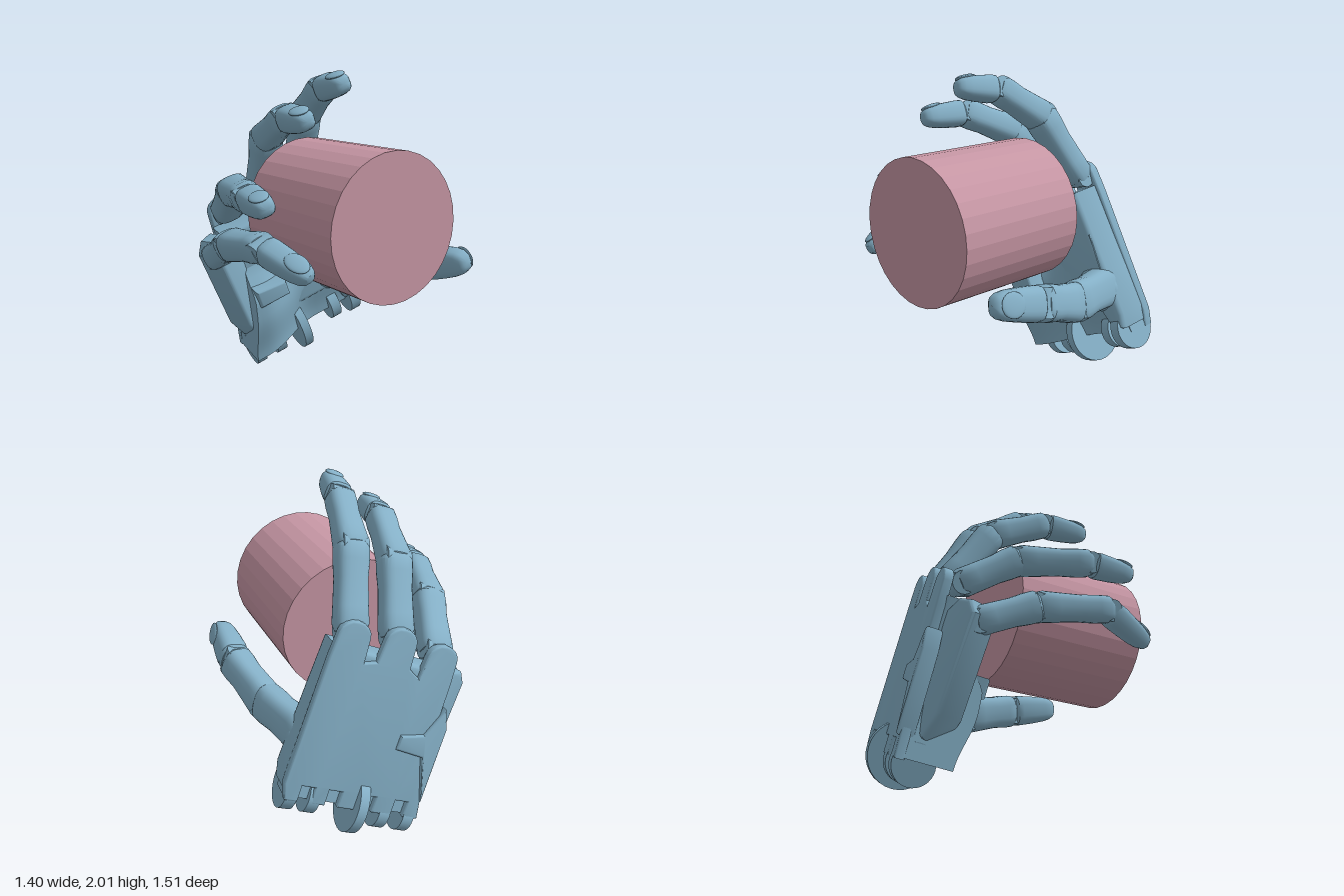
import * as THREE from 'three';
import { toCreasedNormals } from 'three/addons/utils/BufferGeometryUtils.js';

const V = (x, y, z) => new THREE.Vector3(x, y, z);
const skin = new THREE.MeshStandardMaterial({ color: 0x84afc6 });
const pink = new THREE.MeshStandardMaterial({ color: 0xc696a4, flatShading: true });

// Palm frame: U across the knuckles, Vp towards the fingers, N out of the palm
const U = V(0.9, 0.36, 0.15).normalize();
const N = U.clone().cross(V(-0.4, 0.95, 0.1)).normalize();
const Vp = N.clone().cross(U);

function mesh(name, geo, parent, mat = skin) {
  const m = new THREE.Mesh(geo, mat);
  m.name = name;
  parent.add(m);
  return m;
}

// Lofted rod from rings [t, scale]; cross-section is a rounded rectangle in x, y along z
function rod(length, w0, h0, w1, h1, rings) {
  const sides = 24, pos = [], idx = [];
  const bow = (c) => Math.sign(c) * Math.pow(Math.abs(c), 0.68);
  rings.forEach(([t, s]) => {
    const w = (w0 + (w1 - w0) * t) * s / 2, h = (h0 + (h1 - h0) * t) * s / 2;
    for (let i = 0; i < sides; i++) {
      const a = i / sides * Math.PI * 2;
      pos.push(bow(Math.cos(a)) * w, bow(Math.sin(a)) * h, t * length);
    }
  });
  for (let r = 0; r < rings.length - 1; r++) {
    for (let i = 0; i < sides; i++) {
      const a = r * sides + i, b = r * sides + (i + 1) % sides;
      idx.push(a, b, b + sides, a, b + sides, a + sides);
    }
  }
  const g = new THREE.BufferGeometry();
  g.setAttribute('position', new THREE.Float32BufferAttribute(pos, 3));
  g.setIndex(idx);
  return toCreasedNormals(g, 0.6);
}

const SEGMENT = [[0, 0.01], [0, 0.55], [0.04, 0.85], [0.12, 1], [0.3, 0.97], [0.6, 0.93], [0.8, 1], [0.93, 1], [0.99, 0.82], [1, 0.01]];
const TIP = [[0, 0.01], [0, 0.8], [0.05, 0.95], [0.15, 1], [0.45, 1], [0.7, 0.96], [0.85, 0.86], [0.94, 0.68], [0.99, 0.4], [1, 0.01]];

// One finger through its joints; widths and heights are given at each joint
function finger(name, joints, widths, heights, sideHint, parent) {
  const f = new THREE.Group();
  f.name = name;
  parent.add(f);
  const last = joints.length - 2;
  for (let i = 0; i <= last; i++) {
    const dir = joints[i + 1].clone().sub(joints[i]);
    const len = dir.length();
    dir.normalize();
    const side = sideHint.clone().addScaledVector(dir, -sideHint.dot(dir)).normalize();
    const bone = new THREE.Group();
    bone.name = ['proximal', 'middle', 'distal'][i] + 'Segment';
    bone.applyMatrix4(new THREE.Matrix4().makeBasis(side, dir.clone().cross(side), dir).setPosition(joints[i]));
    f.add(bone);
    const tip = i === last;
    // Segments overlap at the middle joint; the fingertip sits behind a small gap
    const start = tip ? 0.03 : -0.032, end = tip ? len : len + 0.024;
    const body = mesh('segmentBody', rod(end - start, widths[i], heights[i], widths[i + 1], heights[i + 1], tip ? TIP : SEGMENT), bone);
    body.position.z = start;
    const pin = mesh('hingePin', new THREE.CylinderGeometry(heights[i] * 0.4, heights[i] * 0.4, widths[i] * 0.8, 20), bone);
    pin.rotation.z = Math.PI / 2;
    if (tip) {
      const nail = mesh('nail', new THREE.SphereGeometry(1, 20, 12), bone);
      nail.scale.set(widths[i] * 0.34, 0.016, len * 0.21);
      nail.position.set(0, (heights[i] * 0.25 + heights[i + 1] * 0.75) * 0.455, len * 0.75);
      nail.rotation.x = 0.14;
    }
  }
}

// Extruded plate between two depths
function plate(name, points, n0, n1, parent, bevel = 0.025) {
  const shape = new THREE.Shape(points.map(([x, y]) => new THREE.Vector2(x, y)));
  const g = new THREE.ExtrudeGeometry(shape, {
    depth: n1 - n0 - 2 * bevel, bevelThickness: bevel, bevelSize: bevel, bevelOffset: -bevel, bevelSegments: 3,
  });
  g.translate(0, 0, n0 + bevel);
  return mesh(name, toCreasedNormals(g, 0.6), parent);
}

function disc(name, u, v, n, r, width, parent) {
  const d = mesh(name, new THREE.CylinderGeometry(r, r, width, 32), parent);
  d.rotation.z = Math.PI / 2;
  d.position.set(u, v, n);
}

function createPalm() {
  const palm = new THREE.Group();
  palm.name = 'palm';
  palm.applyMatrix4(new THREE.Matrix4().makeBasis(U, Vp, N).setPosition(0.25, 0.26, -0.53));

  // Main body and the thin back plate with wrist notches and knuckle tongues
  plate('palmBody', [[-0.38, 0.2], [0.28, 0.2], [0.34, 0.05], [0.44, 0.05], [0.46, 0.14], [0.45, 0.4], [0.42, 0.94], [-0.33, 0.92], [-0.34, 0.45]], -0.11, 0.11, palm, 0.035);
  const back = [[-0.43, 0]];
  for (const u of [-0.29, -0.08, 0.14, 0.31]) back.push([u - 0.04, 0], [u - 0.04, 0.1], [u + 0.04, 0.1], [u + 0.04, 0]);
  back.push([0.43, 0], [0.46, 0.1]);
  [[0.336, 1.02], [0.054, 1.04], [-0.225, 1.0]].forEach(([u, v]) => {
    back.push([u + 0.105, v - 0.14]);
    for (let i = 0; i <= 8; i++) {
      const a = i / 8 * Math.PI;
      back.push([u + Math.cos(a) * 0.095, v + Math.sin(a) * 0.08]);
    }
    back.push([u - 0.105, v - 0.14]);
  });
  back.push([-0.34, 0.5]);
  plate('backPlate', back, -0.14, -0.08, palm, 0.012);

  // Heel of the hand: swells towards the little finger, thins at the wrist, narrows upwards
  const heel = new THREE.BoxGeometry(0.86, 0.66, 0.2, 20, 16, 1);
  const p = heel.attributes.position;
  for (let i = 0; i < p.count; i++) {
    const u = p.getX(i), v = p.getY(i) + 0.34;
    if (p.getZ(i) > 0) {
      const s = THREE.MathUtils.smoothstep(-u, -0.1, 0.35);
      const k = 1 - THREE.MathUtils.smoothstep(v, 0.45, 0.67);
      const low = 1 - THREE.MathUtils.smoothstep(v, 0, 0.35);
      p.setZ(i, 0.1 + (0.01 + 0.15 * s) * k - 0.07 * low);
    }
    if (u < 0) p.setX(i, u * (1 - 0.55 * v));
    p.setY(i, v);
  }
  mesh('palmHeel', toCreasedNormals(heel, 0.6), palm);

  // Rounded mound carrying the thumb
  const mound = mesh('thumbMound', new THREE.SphereGeometry(1, 28, 18), palm);
  mound.scale.set(0.15, 0.15, 0.1);
  mound.position.set(0.31, 0.32, 0.07);

  // Outer metacarpal of the little finger, folded inwards, clasping the palm on both faces
  const outer = plate('outerMetacarpal', [[-0.1, 0.13], [0, 0.14], [0.13, 0.36], [0.13, 0.5], [0.03, 0.7], [0.01, 0.84], [-0.06, 0.92], [-0.15, 0.92], [-0.21, 0.85], [-0.17, 0.28]], 0, 0.19, palm);
  outer.position.set(-0.33, 0, -0.07);
  outer.rotation.y = 0.5;
  plate('frontClasp', [[-0.3, 0.43], [-0.09, 0.43], [-0.09, 0.53], [-0.3, 0.55]], 0.1, 0.29, palm, 0.015);
  plate('backClasp', [[-0.4, 0.12], [-0.3, 0.4], [-0.13, 0.42], [-0.13, 0.51], [-0.27, 0.54], [-0.35, 0.72], [-0.4, 0.6]], -0.16, -0.06, palm, 0.015);

  // Wrist hinge: one large fin between smaller lugs
  disc('wristFin', -0.03, 0.01, -0.02, 0.195, 0.06, palm);
  for (const u of [-0.37, -0.21]) disc('wristLug', u, -0.01, -0.02, 0.122, 0.07, palm);
  disc('wristLug', 0.25, 0.02, -0.02, 0.12, 0.07, palm);
  disc('palmCorner', 0.39, 0.03, 0, 0.135, 0.07, palm);
  return palm;
}

export function createModel() {
  const model = new THREE.Group();

  // Held cylinder
  const can = mesh('heldCylinder', new THREE.CylinderGeometry(0.425, 0.425, 0.86, 32), model, pink);
  can.rotation.x = Math.PI / 2;
  can.position.set(0.025, 1.17, 0.33);

  const hand = new THREE.Group();
  hand.name = 'hand';
  model.add(hand);
  hand.add(createPalm());

  const W = [0.2, 0.195, 0.165, 0.135], H = [0.17, 0.185, 0.16, 0.12];
  finger('indexFinger', [V(0.17, 1.33, -0.42), V(0.06, 1.72, -0.19), V(0, 1.9, 0.1), V(-0.05, 1.93, 0.385)], W, H, U, hand);
  finger('middleFinger', [V(-0.1, 1.25, -0.45), V(-0.2, 1.6, -0.21), V(-0.27, 1.74, 0.12), V(-0.31, 1.735, 0.42)], W, H, U, hand);
  finger('ringFinger', [V(-0.34, 1.12, -0.48), V(-0.45, 1.3, -0.18), V(-0.59, 1.33, 0.23), V(-0.63, 1.305, 0.52)], W, H, U, hand);
  finger('littleFinger', [V(-0.44, 0.85, -0.43), V(-0.52, 0.99, -0.1), V(-0.575, 1.065, 0.36), V(-0.485, 0.955, 0.71)], W, H, U, hand);
  finger('thumb', [V(0.43, 0.68, -0.41), V(0.54, 0.71, 0.02), V(0.61, 0.82, 0.37), V(0.6, 0.9, 0.73)],
    [0.26, 0.24, 0.21, 0.16], [0.21, 0.18, 0.19, 0.14], V(0.3, -1, 0), hand);
  return model;
}
